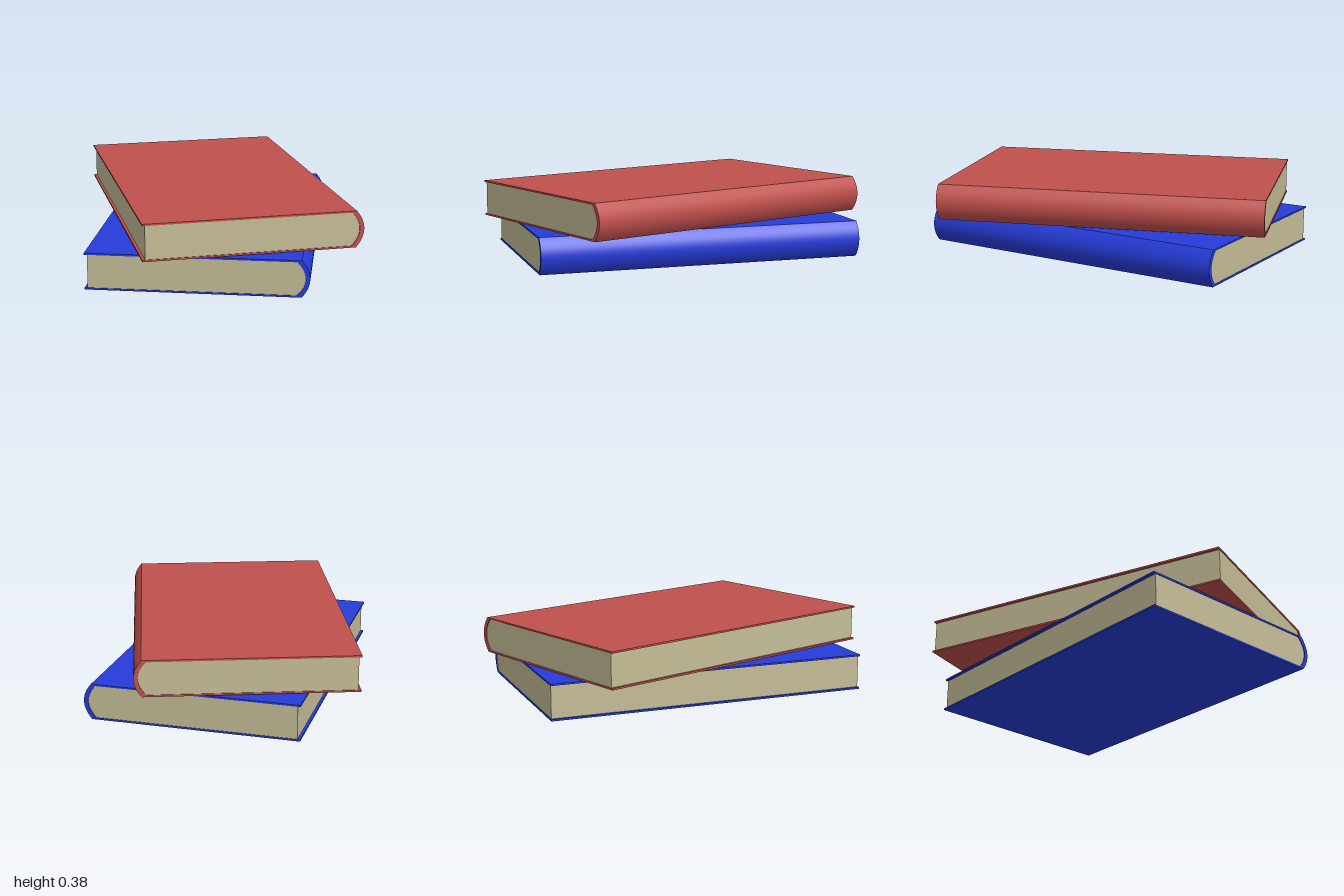
import * as THREE from 'three';
import { toCreasedNormals } from 'three/addons/utils/BufferGeometryUtils.js';

const LENGTH = 1.68, HALF = 0.545, HEIGHT = 0.185;
const BOARD = 0.009, BULGE = 0.04, SPINE = 0.032;

// Extrudes a cross-section (x towards the spine, y up) along the book's length.
function extrude(shape, length, color, name) {
  const geometry = new THREE.ExtrudeGeometry(shape, { depth: length, bevelEnabled: false, curveSegments: 16 });
  geometry.translate(0, 0, -length / 2);
  const mesh = new THREE.Mesh(toCreasedNormals(geometry, 0.5), new THREE.MeshStandardMaterial({ color }));
  mesh.name = name;
  return mesh;
}

function createBook(name, color) {
  const book = new THREE.Group();
  book.name = name;
  const edge = HALF - BULGE, inner = edge - SPINE + 0.01;
  const low = BOARD, high = HEIGHT - BOARD, mid = HEIGHT / 2;

  // Two boards joined by a rounded spine
  const cover = new THREE.Shape();
  cover.moveTo(-HALF, 0);
  cover.lineTo(edge, 0);
  cover.quadraticCurveTo(HALF + BULGE, mid, edge, HEIGHT);
  cover.lineTo(-HALF, HEIGHT);
  cover.lineTo(-HALF, high);
  cover.lineTo(inner, high);
  cover.quadraticCurveTo(inner + 2 * BULGE, mid, inner, low);
  cover.lineTo(-HALF, low);
  cover.closePath();
  book.add(extrude(cover, LENGTH, color, 'cover'));

  // Page block, set slightly inside the cover and rounded at the spine
  const pages = new THREE.Shape();
  pages.moveTo(-HALF + 0.014, low);
  pages.lineTo(inner, low);
  pages.quadraticCurveTo(inner + 2 * BULGE, mid, inner, high);
  pages.lineTo(-HALF + 0.014, high);
  pages.closePath();
  book.add(extrude(pages, LENGTH - 0.008, 0xc4bd97, 'pages'));
  return book;
}

export function createModel() {
  const model = new THREE.Group();
  model.name = 'bookStack';

  const lower = createBook('lowerBook', 0x263cda);
  lower.rotation.y = THREE.MathUtils.degToRad(42);

  const upper = createBook('upperBook', 0xc0504d);
  upper.rotation.y = THREE.MathUtils.degToRad(61.3);
  upper.position.y = 0.193;

  model.add(lower, upper);
  return model;
}
